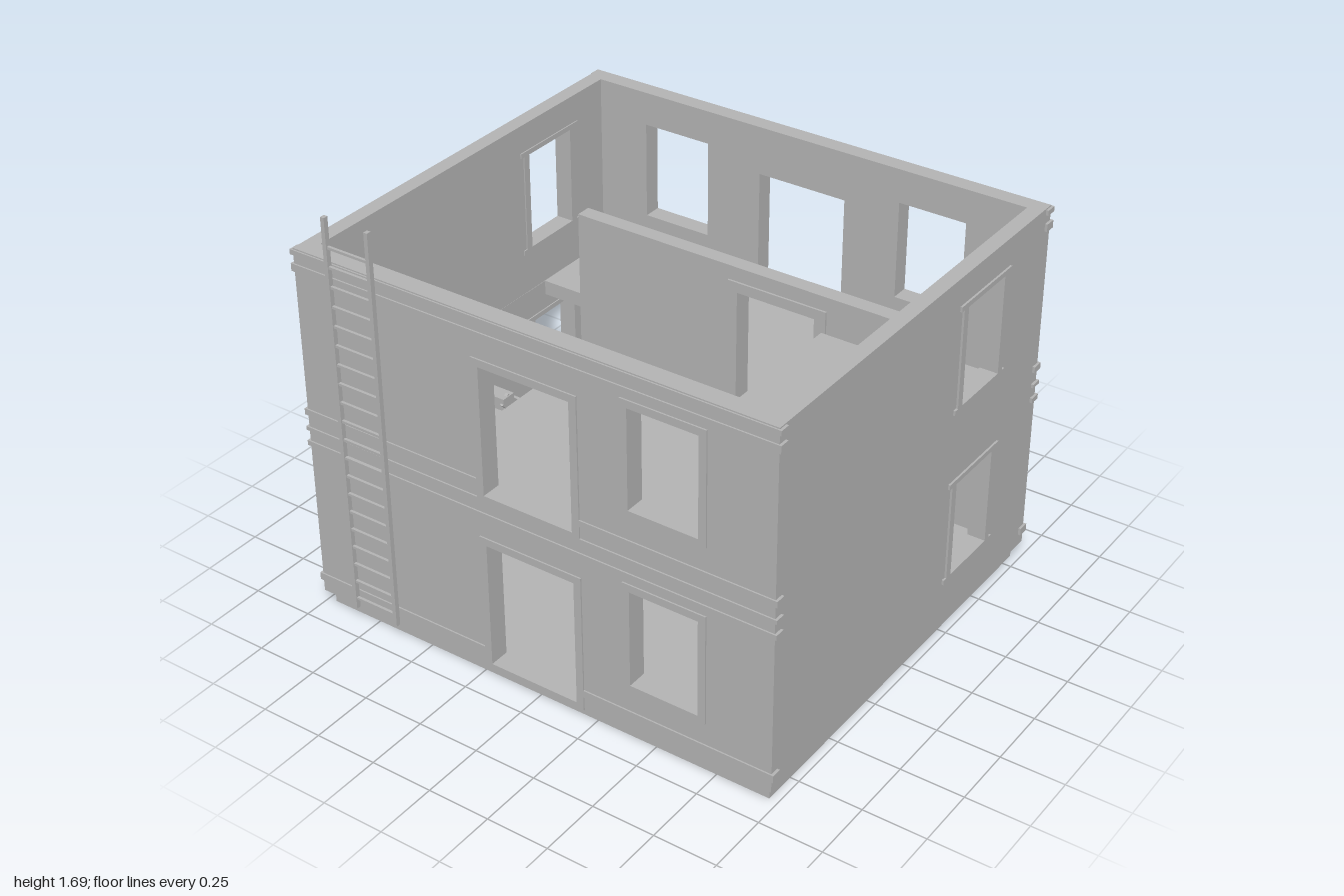
import * as THREE from 'three';

export function createModel() {
  const model = new THREE.Group();
  model.name = 'twoStoreyHouse';
  const grey = new THREE.MeshStandardMaterial({ color: 0xb4b4b4 });
  grey.name = 'plaster grey';

  const add = (name, geometry) => {
    const mesh = new THREE.Mesh(geometry, grey);
    mesh.name = name;
    model.add(mesh);
    return mesh;
  };
  // Box given by its limits on each axis
  const box = (name, x0, x1, y0, y1, z0, z1) => {
    const mesh = add(name, new THREE.BoxGeometry(x1 - x0, y1 - y0, z1 - z0));
    mesh.position.set((x0 + x1) / 2, (y0 + y1) / 2, (z0 + z1) / 2);
    return mesh;
  };
  const rectPath = (path, [a0, a1, b0, b1]) => {
    path.moveTo(a0, b0);
    path.lineTo(a1, b0);
    path.lineTo(a1, b1);
    path.lineTo(a0, b1);
    path.closePath();
    return path;
  };
  // Slab with rectangular holes, extruded along z
  const slab = (name, outline, holes, depth) => {
    const shape = rectPath(new THREE.Shape(), outline);
    shape.holes = holes.map((h) => rectPath(new THREE.Path(), h));
    return add(name, new THREE.ExtrudeGeometry(shape, { depth, bevelEnabled: false }));
  };

  // Plinth and outer walls
  const levels = [0, 0.725];
  const twice = (x0, x1, y0, y1) => levels.map((l) => [x0, x1, y0 + l, y1 + l]);
  const doors = twice(-0.19, 0.185, 0.075, 0.59);
  const rightWindows = twice(0.417, 0.695, 0.255, 0.65);
  const leftWindows = twice(-0.715, -0.425, 0.255, 0.65);
  const sideWindows = [[1, -0.545, -0.23], [-1, -0.6, -0.285]];

  box('plinth', -0.965, 0.965, 0, 0.065, -0.81, 0.88);
  slab('frontWall', [-0.99, 0.99, 0.06, 1.51], [...doors, ...rightWindows], 0.075).position.z = 0.835;
  slab('backWall', [-0.99, 0.99, 0.06, 1.51], [...doors, ...rightWindows, ...leftWindows], 0.067).position.z = -0.847;
  for (const [side, z0, z1] of sideWindows) {
    const wall = slab('sideWall', [-0.78, 0.835, 0.06, 1.51], twice(z0, z1, 0.258, 0.653), 0.06);
    wall.rotation.y = -Math.PI / 2;
    wall.position.x = side > 0 ? 0.99 : -0.93;
  }

  // Floors, the upper one open above the stairs
  box('groundFloor', -0.93, 0.93, 0.06, 0.075, -0.78, 0.835);
  const upperFloor = slab('upperFloor', [-0.93, 0.93, -0.78, 0.835], [[-0.929, -0.48, -0.39, 0.45]], 0.06);
  upperFloor.rotation.x = Math.PI / 2;
  upperFloor.position.y = 0.795;

  // Inner walls with a framed doorway on each storey
  for (const [y0, y1, top] of [[0.07, 0.735, 0.59], [0.79, 1.41, 1.315]]) {
    slab('partition', [-0.45, 0.93, y0, y1], [[0.24, 0.555, y0 + 0.006, top]], 0.06).position.z = -0.05;
    box('doorwayPost', 0.2, 0.24, y0, top, -0.058, 0.018);
    box('doorwayPost', 0.555, 0.6, y0, top, -0.058, 0.018);
    box('doorwayHead', 0.2, 0.6, top, top + 0.04, -0.058, 0.018);
  }
  box('stairWall', -0.48, -0.45, 0.07, 0.735, -0.78, 0.01);

  // Thin trim around doors and windows, front and back
  const trim = (x0, x1, y0, y1, z0, z1, isDoor) => {
    const w = 0.03;
    for (const x of [x0 - w, x1]) box('openingTrim', x, x + w, y0, y1, z0, z1);
    box('lintel', x0 - w, x1 + w, y1, y1 + w, z0, z1);
    if (isDoor) box('threshold', x0 - w, x1 + w, y0 - 0.025, y0, z0, z1);
    else box('sill', x0 - w, x1 + w, y0 - 0.025, y0, z0, z1);
  };
  const faces = [[0.909, 0.916], [-0.854, -0.846]];
  for (const [z0, z1] of faces) {
    for (const d of doors) trim(...d, z0, z1, true);
    for (const w of rightWindows) trim(...w, z0, z1);
  }
  for (const w of leftWindows) trim(...w, ...faces[1]);

  // Deep side frames, sills and lintels of the side windows
  for (const [side, z0, z1] of sideWindows) {
    const [x0, x1] = side > 0 ? [0.925, 0.998] : [-0.998, -0.925];
    for (const [, , y0, y1] of twice(0, 0, 0.258, 0.653)) {
      box('sideFrame', x0, x1, y0, y1, z0, z0 + 0.03);
      box('sideFrame', x0, x1, y0, y1, z1 - 0.03, z1);
      box('sideSill', x0, x1, y0 - 0.02, y0, z0 - 0.018, z1 + 0.018);
      box('sideLintel', x0, x1, y1, y1 + 0.02, z0 - 0.018, z1 + 0.018);
    }
  }

  // Horizontal mouldings that turn the corners
  const bands = [[0.11, 0.14, true], [0.705, 0.725], [0.77, 0.785], [0.835, 0.86, true], [1.42, 1.45], [1.485, 1.505]];
  for (const [y0, y1, split] of bands) {
    faces.forEach(([z0, z1], i) => {
      const spans = split ? [[-1, -0.22], [0.215, 1]] : [[-1, 1]];
      for (const [x0, x1] of spans) box('moulding', x0, x1, y0, y1, z0, z1);
      const [c0, c1] = i ? [-0.852, -0.81] : [0.875, 0.914];
      for (const x of [-1, 0.985]) box('cornerReturn', x, x + 0.015, y0, y1, c0, c1);
    });
  }
  box('cornice', -0.97, 0.97, 1.455, 1.472, -0.86, -0.847);
  box('signBoard', -0.365, 0.36, 0.615, 0.745, -0.87, -0.846);
  box('signBoardFace', -0.345, 0.34, 0.635, 0.725, -0.877, -0.87);

  // Wall lanterns on the back
  for (const x of [-0.855, 0.85]) {
    for (const l of levels) {
      box('lanternBody', x - 0.045, x + 0.045, 0.44 + l, 0.595 + l, -0.915, -0.846);
      box('lanternCap', x - 0.062, x + 0.062, 0.595 + l, 0.615 + l, -0.935, -0.846);
      for (const s of [-0.04, 0.04]) {
        box('lanternPost', x + s - 0.008, x + s + 0.008, 0.43 + l, 0.595 + l, -0.927, -0.915);
      }
      box('lanternBar', x - 0.04, x + 0.04, 0.445 + l, 0.465 + l, -0.925, -0.915);
      box('lanternPane', x - 0.018, x + 0.018, 0.49 + l, 0.565 + l, -0.922, -0.915);
    }
  }

  // Ladder against the front
  for (const x of [-0.825, -0.635]) box('ladderRail', x, x + 0.016, 0.065, 1.69, 0.916, 0.935);
  for (let i = 0; i < 20; i++) {
    const y = 0.11 + i * 0.0771;
    box('ladderRung', -0.815, -0.63, y - 0.005, y + 0.005, 0.92, 0.931);
  }

  // Inner stairs with a sloping stringer
  const steps = 12, run = 0.725 / steps, rise = 0.72 / steps;
  for (let i = 0; i < steps; i++) {
    const z = -0.335 + i * run;
    const y = 0.075 + (i + 1) * rise;
    box('stairTread', -0.87, -0.52, y - 0.02, y, z, z + run);
  }
  const slope = Math.atan2(0.72, 0.725);
  for (const x of [-0.875, -0.53]) {
    const stringer = add('stairStringer', new THREE.BoxGeometry(0.012, 0.05, 0.98));
    stringer.position.set(x, 0.44, 0.027);
    stringer.rotation.x = -slope;
  }

  // Tables and benches share one helper
  const table = (name, x0, x1, z0, z1, floor, top, leg) => {
    box(name + 'Top', x0, x1, top - 0.025, top, z0, z1);
    for (const x of [x0 + 0.02, x1 - 0.02 - leg]) {
      for (const z of [z0 + 0.02, z1 - 0.02 - leg]) box(name + 'Leg', x, x + leg, floor, top - 0.025, z, z + leg);
    }
  };
  table('diningTable', 0.43, 0.765, -0.555, -0.295, 0.795, 0.94, 0.025);
  table('bench', 0.48, 0.715, -0.715, -0.6, 0.795, 0.88, 0.02);
  table('bench', 0.48, 0.715, -0.26, -0.14, 0.795, 0.88, 0.02);
  table('sideTable', 0.65, 0.9, 0.25, 0.72, 0.075, 0.37, 0.015);
  for (const [x, r, sides] of [[0.6, 0.027, 6], [0.515, 0.014, 8], [0.68, 0.014, 8]]) {
    add(sides === 6 ? 'pot' : 'cup', new THREE.CylinderGeometry(r, r, 0.035, sides)).position.set(x, 0.957, -0.43);
  }

  // Wardrobe with door panels
  box('wardrobe', 0.71, 0.9, 0.795, 1.415, 0.225, 0.75);
  for (const [z0, z1] of [[0.25, 0.4], [0.44, 0.57], [0.61, 0.725]]) {
    box('wardrobeDoor', 0.702, 0.71, 0.83, 1.385, z0, z1);
  }
  return model;
}
